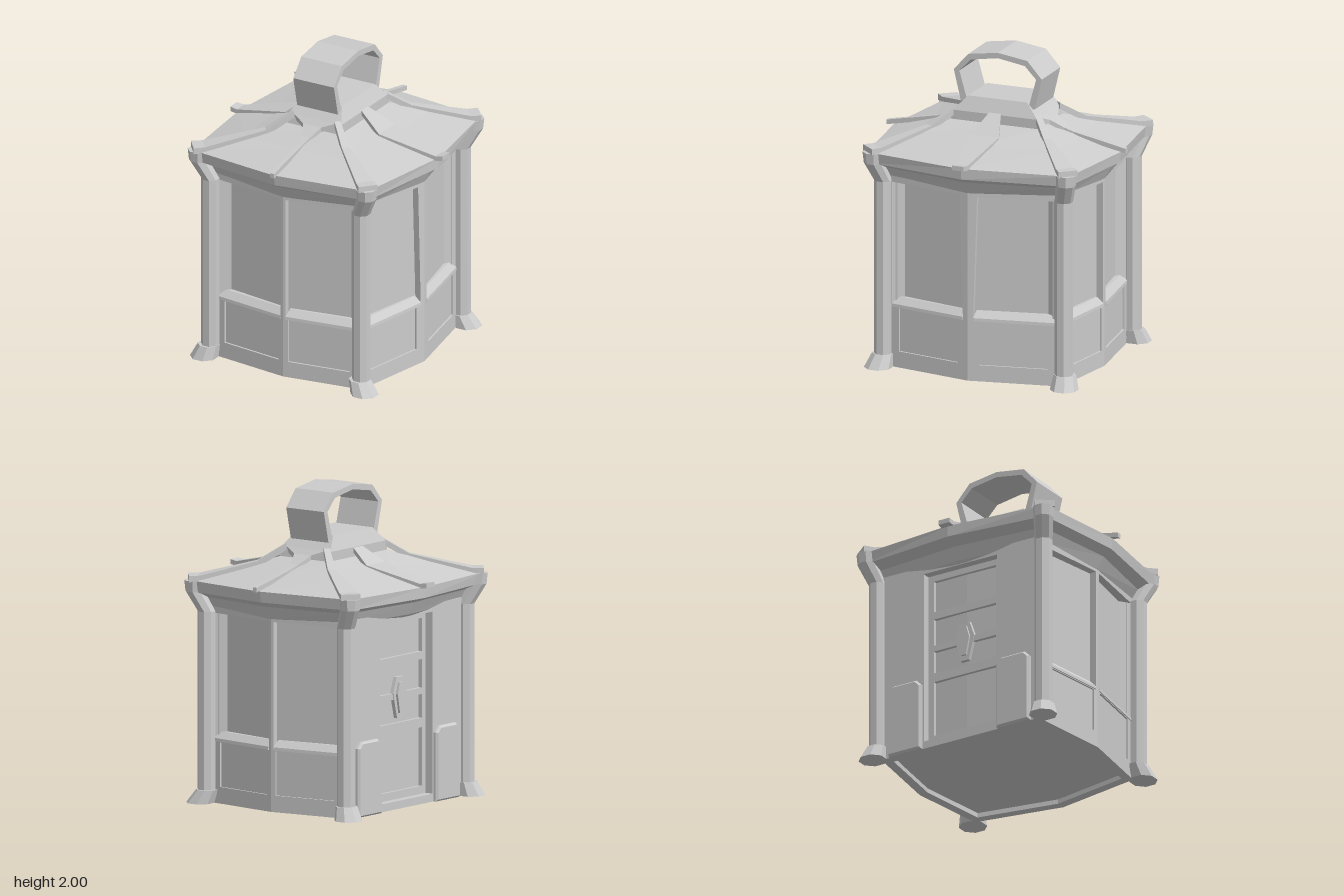
import * as THREE from 'three';

const mat = new THREE.MeshStandardMaterial({ color: 0xcccccc, flatShading: true });

function add(parent, name, geo, x = 0, y = 0, z = 0) {
  const m = new THREE.Mesh(geo, mat);
  m.name = name;
  m.position.set(x, y, z);
  parent.add(m);
  return m;
}

// Skin a stack of equal-sized rings (counter-clockwise seen from the last ring), with end caps
function loft(rings) {
  const pos = [], n = rings[0].length;
  const tri = (a, b, c) => pos.push(...a, ...b, ...c);
  for (let k = 0; k < rings.length - 1; k++) {
    for (let i = 0; i < n; i++) {
      const j = (i + 1) % n, a = rings[k], b = rings[k + 1];
      tri(a[i], a[j], b[j]);
      tri(a[i], b[j], b[i]);
    }
  }
  const first = rings[0], last = rings[rings.length - 1];
  for (let i = 1; i < n - 1; i++) {
    tri(first[0], first[i + 1], first[i]);
    tri(last[0], last[i], last[i + 1]);
  }
  const g = new THREE.BufferGeometry();
  g.setAttribute('position', new THREE.Float32BufferAttribute(pos, 3));
  g.computeVertexNormals();
  return g;
}

// Bowed rectangle: corner x left/right, corner z, then bowed middles
const MX = -0.02;
const plan = (y, xl, xr, zc, xL, xR, zm) => [
  [xl, y, zc], [MX, y, zm], [xr, y, zc], [xR, y, 0],
  [xr, y, -zc], [MX, y, -zm], [xl, y, -zc], [xL, y, 0]];

// Octagonal ring for posts and feet
const octagon = (x, y, z, r) => Array.from({ length: 8 }, (_, i) => {
  const a = (i + 0.5) * Math.PI / 4, R = r / Math.cos(Math.PI / 8);
  return [x + R * Math.cos(a), y, z - R * Math.sin(a)];
});

// Flat strip along a path of [x, y, z, width], used for the roof ribs
function ribGeo(path, t) {
  const a = path[0], b = path[path.length - 1];
  const d = new THREE.Vector3(b[0] - a[0], 0, b[2] - a[2]).normalize();
  const sx = d.z, sz = -d.x; // up x d
  return loft(path.map(([x, y, z, w]) =>
    [[-1, -t], [1, -t], [1, 0], [-1, 0]].map(([k, dy]) => [x + sx * k * w / 2, y + dy, z + sz * k * w / 2])));
}

const poly = pts => new THREE.Shape(pts.map(p => new THREE.Vector2(p[0], p[1])));
const rect = (x0, y0, x1, y1) => [[x0, y0], [x1, y0], [x1, y1], [x0, y1]];

// Plate with holes, extruded towards +z
function plate(outline, holes, depth) {
  const s = poly(outline);
  holes.forEach(h => s.holes.push(poly(h)));
  return new THREE.ExtrudeGeometry(s, { depth, bevelEnabled: false });
}

// Upright prism from a plan outline of [x, z]
const prism = (pts, y0, y1) => loft([y0, y1].map(y => pts.map(([x, z]) => [x, y, z])));

// Group whose local x runs from P to Q and local z points outwards
function wallGroup(name, P, Q) {
  const g = new THREE.Group();
  g.name = name;
  g.position.set(P[0], 0, P[1]);
  g.rotation.y = Math.atan2(-(Q[1] - P[1]), Q[0] - P[0]);
  g.userData.length = Math.hypot(Q[0] - P[0], Q[1] - P[1]);
  return g;
}

// Half of a wall: window frame above, framed panel below.
// Margins are [panel, window foot, window head]; the corner end gets a slanted jamb.
function bay(name, P, Q, middle, cornerFirst) {
  const corner = [0.08, 0.03, 0.03];
  const [m0, m1] = cornerFirst ? [corner, middle] : [middle, corner];
  const g = wallGroup(name, P, Q), L = g.userData.length;
  add(g, 'windowFrame', plate(rect(0, 0, L, 1.25),
    [[[m0[1], 0.4], [L - m1[1], 0.4], [L - m1[2], 1.2], [m0[2], 1.2]],
      rect(m0[0], 0.105, L - m1[0], 0.385)], 0.06), 0, 0, -0.06);
  add(g, 'lowerPanel', new THREE.BoxGeometry(L - m0[0] - m1[0], 0.28, 0.03), (L + m0[0] - m1[0]) / 2, 0.245, -0.027);
  add(g, 'jamb', prism(cornerFirst
    ? [[0.01, -0.002], [0.031, -0.002], [0.09, -0.055], [0.01, -0.055]]
    : [[L - 0.031, -0.002], [L - 0.01, -0.002], [L - 0.01, -0.055], [L - 0.09, -0.055]], 0.4, 1.22));
  // Sloped sill
  const a = m0[1], b = L - m1[1];
  add(g, 'sill', loft([[0.39, 0.006, 0], [0.41, 0.004, 0], [0.45, -0.035, 0.015]].map(([y, z, i]) =>
    [[a + i, y, z], [b - i, y, z], [b - i, y, -0.06], [a + i, y, -0.06]])));
  return g;
}

export function createModel() {
  const model = new THREE.Group();
  model.name = 'lantern';

  // Inner core seen through the window openings, also the recessed floor
  add(model, 'core', loft([0.03, 1.28].map(y => plan(y, -0.49, 0.455, 0.53, -0.505, 0.57, 0.61))));

  // Front, back and right walls
  const FL = [-0.56, 0.585], F = [MX, 0.658], FR = [0.505, 0.585], R = [0.614, 0];
  const flip = p => [p[0], -p[1]];
  const thin = [0.035, 0.018, 0.018], wide = [0.075, 0.035, 0.06];
  model.add(
    bay('frontWallRight', FL, F, thin, true), bay('frontWallLeft', F, FR, thin, false),
    bay('sideWallFront', FR, R, wide, true), bay('sideWallBack', R, flip(FR), wide, false),
    bay('backWallLeft', flip(FR), flip(F), thin, true), bay('backWallRight', flip(F), flip(FL), thin, false));

  // Door wall
  const wall = wallGroup('doorWall', [-0.58, -0.57], [-0.58, 0.57]);
  add(wall, 'doorSurround', plate(rect(0, 0, 1.14, 1.25), [rect(0.3, 0.05, 0.84, 1.2)], 0.06), 0, 0, -0.06);
  for (const x of [0.06, 0.86]) {
    add(wall, 'sidePanel', new THREE.ExtrudeGeometry(poly(
      [[x, 0], [x + 0.22, 0], [x + 0.22, 0.42], [x + 0.19, 0.45], [x + 0.03, 0.45], [x, 0.42]]),
    { depth: 0.015, bevelSize: 0.012, bevelThickness: 0.015, bevelSegments: 1 }), 0, 0.012, 0);
  }
  add(wall, 'door', plate(rect(0.29, 0.04, 0.85, 1.21),
    [rect(0.34, 0.1, 0.8, 0.47), rect(0.34, 0.53, 0.8, 0.68), rect(0.34, 0.72, 0.8, 0.9), rect(0.34, 0.95, 0.8, 1.16)],
    0.025), 0, 0, -0.08);
  const handleOutline = [[-0.03, -0.13], [0.03, -0.13], [0.07, 0.03], [0.035, 0.13], [-0.035, 0.13], [-0.07, 0.03]];
  add(wall, 'doorHandlePlate', plate(handleOutline, [], 0.025), 0.57, 0.69, -0.075);
  add(wall, 'doorHandle', plate(handleOutline.map(([x, y]) => [x * 0.6, y * 0.75]), [], 0.015), 0.57, 0.69, -0.05);
  model.add(wall);

  // Cornice, eave, sloping roof and collar
  add(model, 'roof', loft([
    plan(1.205, -0.535, 0.48, 0.56, -0.585, 0.595, 0.635),
    plan(1.22, -0.55, 0.495, 0.575, -0.6, 0.615, 0.66),
    plan(1.3, -0.585, 0.535, 0.615, -0.64, 0.655, 0.7),
    plan(1.335, -0.655, 0.6, 0.675, -0.725, 0.715, 0.76),
    plan(1.405, -0.665, 0.61, 0.685, -0.73, 0.72, 0.77),
    plan(1.48, -0.41, 0.37, 0.47, -0.44, 0.43, 0.5),
    plan(1.55, -0.2, 0.18, 0.3, -0.2, 0.18, 0.3),
    plan(1.61, -0.2, 0.18, 0.285, -0.2, 0.18, 0.285),
    plan(1.7, -0.16, 0.135, 0.2, -0.16, 0.135, 0.2)]));

  // Roof ribs along the middles and over the corners
  for (const s of [1, -1]) {
    add(model, 'sideRib', ribGeo([[s * 0.18, 1.62, 0, 0.08], [s * 0.34, 1.515, 0, 0.19], [s * 0.72, 1.43, 0, 0.09],
      [s * 0.77, 1.437, 0, 0.08]], 0.03));
    add(model, s > 0 ? 'frontRib' : 'backRib', ribGeo([[-0.01, 1.612, s * 0.285, 0.3], [-0.01, 1.58, s * 0.32, 0.13],
      [-0.01, 1.53, s * 0.4, 0.06], [-0.01, 1.505, s * 0.46, 0.032], [-0.01, 1.435, s * 0.81, 0.03]], 0.03));
    for (const [x0, x1, x2, x3] of [[-0.17, -0.3, -0.61, -0.665], [0.15, 0.28, 0.56, 0.61]]) {
      add(model, 'cornerRib', ribGeo([[x0, 1.63, s * 0.28, 0.04], [x1, 1.525, s * 0.4, 0.05],
        [x2, 1.44, s * 0.635, 0.115], [x3, 1.44, s * 0.68, 0.125]], 0.04));
    }
  }

  // Corner posts with flared brackets, and feet pointing outwards
  for (const s of [1, -1]) {
    for (const [px, fx, bx] of [[-0.575, -0.608, -0.635], [0.52, 0.555, 0.58]]) {
      add(model, 'cornerPost', loft([octagon(px, 0.05, s * 0.612, 0.053), octagon(px, 1.21, s * 0.612, 0.053),
        octagon(bx, 1.335, s * 0.65, 0.058), octagon(bx, 1.405, s * 0.65, 0.065)]));
      add(model, 'foot', loft([octagon(fx, 0, s * 0.63, 0.083), octagon(px - 0.008, 0.085, s * 0.615, 0.065)]));
    }
  }

  // Carrying handle: faceted arch running front to back
  const outer = [[0.25, 1.66], [0.298, 1.86], [0.2, 1.97], [0, 2]];
  const inner = [[0.205, 1.66], [0.26, 1.855], [0.183, 1.935], [0, 1.965]];
  const arch = pts => [...pts, ...pts.slice(0, -1).reverse().map(([z, y]) => [-z, y])];
  const handle = plate([...arch(outer), ...arch(inner).reverse()], [], 0.295);
  handle.rotateY(Math.PI / 2);
  add(model, 'handle', handle, -0.16, 0, 0);

  return model;
}
